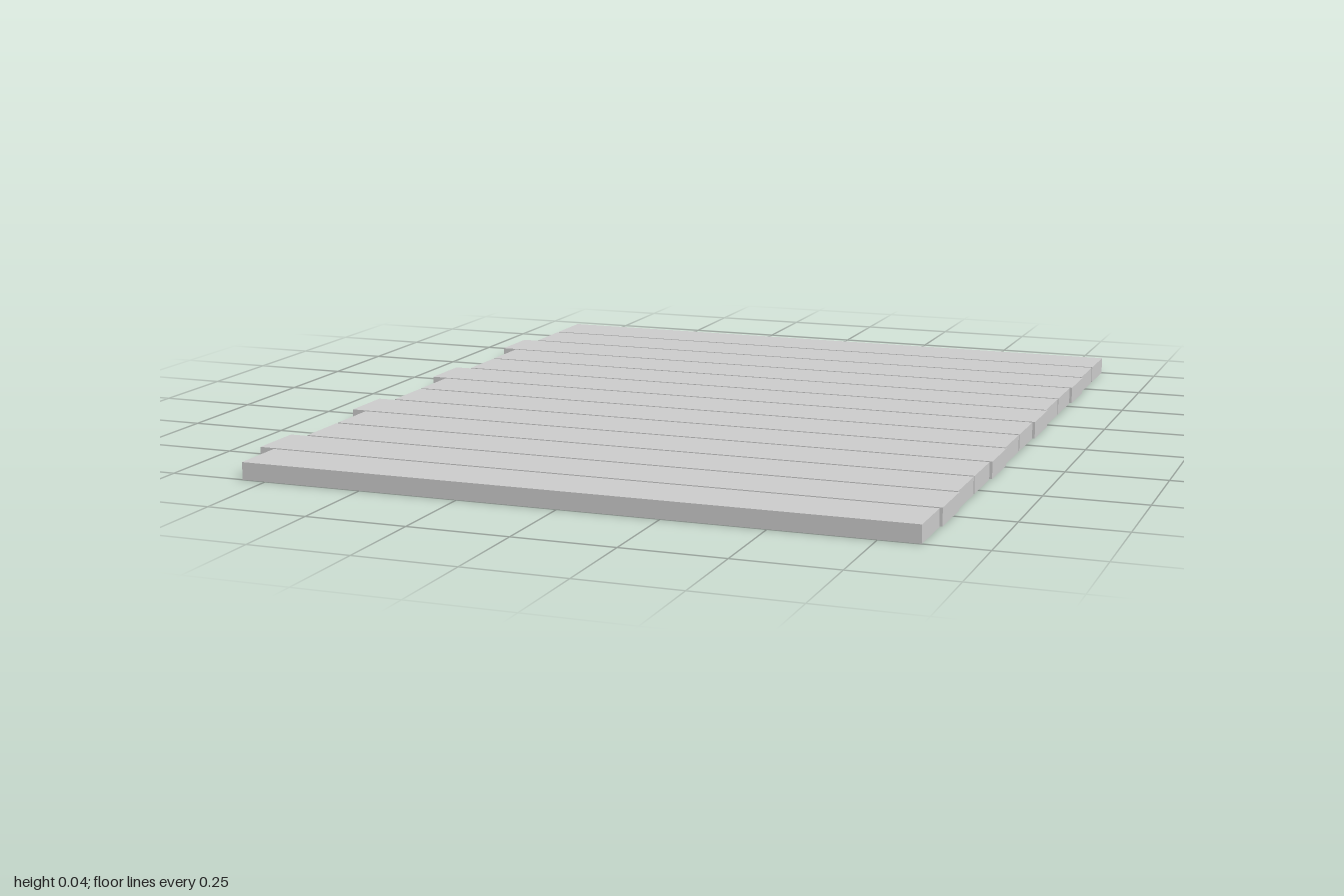
import * as THREE from 'three';

export function createModel() {
  const group = new THREE.Group();
  group.name = 'plankDeck';
  const material = new THREE.MeshStandardMaterial({ color: 0xcccccc, flatShading: true });

  const count = 13, pitch = 0.1545, width = 0.146, thickness = 0.043;

  // Row of planks with narrow gaps; every third one juts out on the right side
  for (let i = 0; i < count; i++) {
    const long = i % 3 === 2;
    const minX = long ? -0.853 : -0.811;
    const maxX = long ? 0.853 : 0.848;
    const plank = new THREE.Mesh(new THREE.BoxGeometry(maxX - minX, thickness, width), material);
    plank.name = long ? 'longPlank' : 'plank';
    plank.position.set((minX + maxX) / 2, thickness / 2, (i - (count - 1) / 2) * pitch);
    group.add(plank);
  }
  return group;
}
